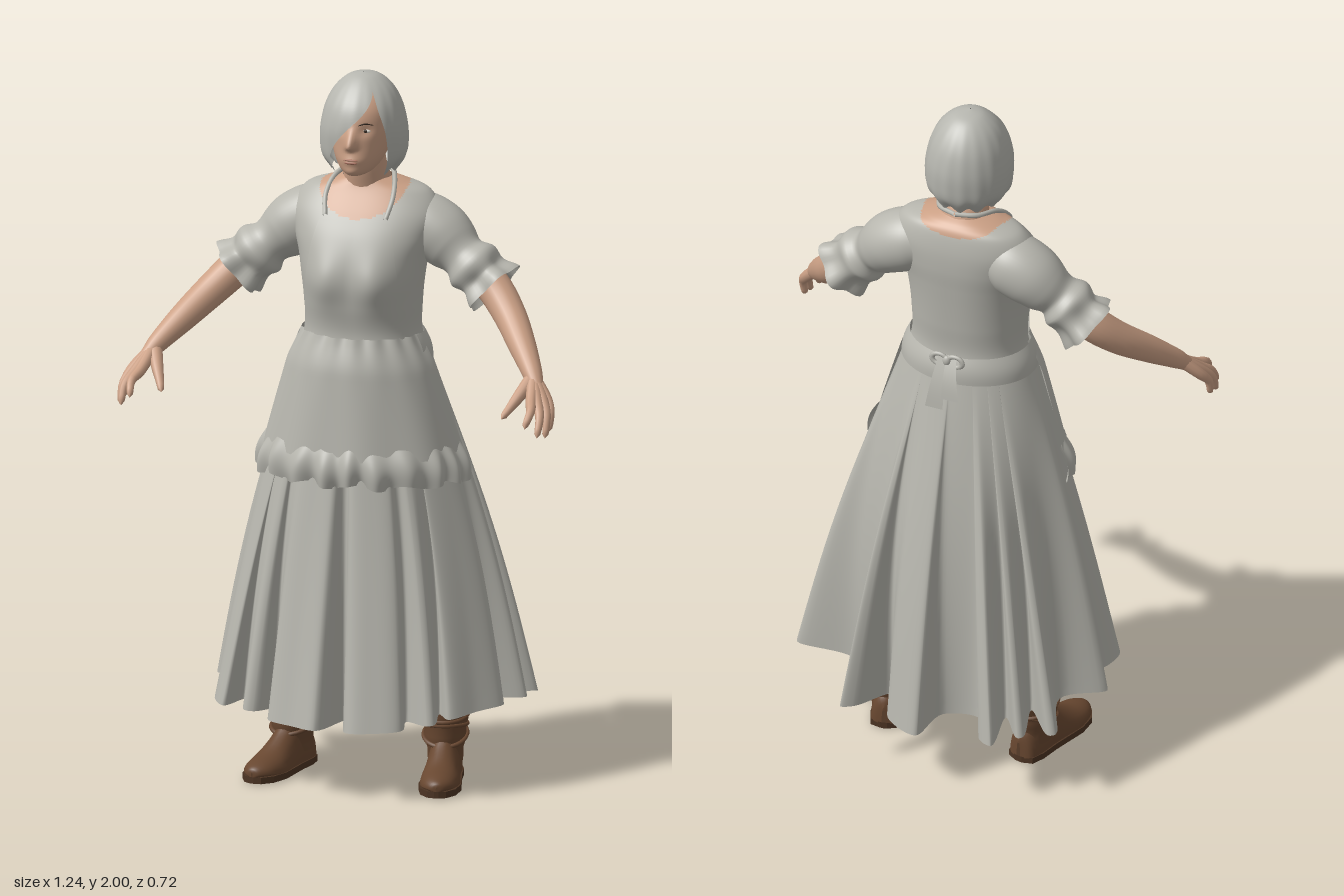
import * as THREE from 'three';

const mat = (name, color, side = THREE.DoubleSide) => {
  const m = new THREE.MeshStandardMaterial({ color, side });
  m.name = name;
  return m;
};
const { sin, cos, PI, exp, abs, sign } = Math;
const lerp = THREE.MathUtils.lerp, smooth = THREE.MathUtils.smoothstep;
const bell = (d, w) => exp(-((d / w) ** 2));

export function createModel() {
  const cloth = mat('grey cloth', 0xb7b6ae), hairMat = mat('grey hair', 0xb6b6af);
  const skin = mat('skin', 0xcba085), leather = mat('boot leather', 0x684730);
  const sole = mat('boot sole', 0x4c3423), lip = mat('lips', 0xa9705d);
  const white = mat('eye white', 0xd8d2c8), dark = mat('dark eye', 0x33281f);
  const model = new THREE.Group();
  model.name = 'womanInApron';

  const add = (name, geo, material, parent = model) => {
    const m = new THREE.Mesh(geo, material);
    m.name = name;
    parent.add(m);
    return m;
  };

  // Smooth lookup in a table of cross-sections, t from 0 to 1
  const row = (rows, t) => {
    const f = Math.min(Math.max(t, 0), 1) * (rows.length - 1);
    const i = Math.min(Math.floor(f), rows.length - 2), k = f - i;
    const at = (j) => rows[Math.min(Math.max(j, 0), rows.length - 1)];
    return rows[i].map((b, c) => {
      const a = at(i - 1)[c], d = at(i + 1)[c], e = at(i + 2)[c];
      return b + 0.5 * k * (d - a + k * (2 * a - 5 * b + 4 * d - e + k * (3 * (b - d) + e - a)));
    });
  };

  // Grid surface: u runs counter-clockwise seen from above, v runs downwards
  const surface = (nu, nv, fn, closed = true, second = null) => {
    const w = closed ? nu : nu + 1, pos = [], parts = [[], []];
    for (let j = 0; j <= nv; j++) for (let i = 0; i < w; i++) pos.push(...fn(i / nu, j / nv));
    for (let j = 0; j < nv; j++) for (let i = 0; i < nu; i++) {
      const n = (i + 1) % w, a = j * w + i, b = a + w, c = (j + 1) * w + n, d = j * w + n;
      const mid = [0, 1, 2].map((k) => (pos[a * 3 + k] + pos[c * 3 + k]) / 2);
      parts[second && second(...mid) ? 1 : 0].push(a, b, d, b, c, d);
    }
    const g = new THREE.BufferGeometry();
    g.setAttribute('position', new THREE.Float32BufferAttribute(pos, 3));
    g.setIndex([...parts[0], ...parts[1]]);
    if (second) {
      g.addGroup(0, parts[0].length, 0);
      g.addGroup(parts[0].length, parts[1].length, 1);
    }
    g.computeVertexNormals();
    return g;
  };

  // Tube through [x, y, z, radius] points, with an optional ripple on the radius
  const limb = (pts, nu = 20, nv = 24, ripple = () => 0) => {
    const curve = new THREE.CatmullRomCurve3(pts.map((p) => new THREE.Vector3(p[0], p[1], p[2])));
    const { normals, binormals } = curve.computeFrenetFrames(nv);
    return surface(nu, nv, (u, v) => {
      const j = Math.round(v * nv), a = u * 2 * PI;
      const r = row(pts, curve.getUtoTmapping(v))[3] + ripple(a, v);
      return curve.getPointAt(v).addScaledVector(normals[j], r * cos(a))
        .addScaledVector(binormals[j], -r * sin(a)).toArray();
    });
  };
  const ball = (name, material, p, s) => {
    const m = add(name, new THREE.SphereGeometry(1, 16, 12), material);
    m.position.set(...p);
    m.scale.set(...s);
  };

  // Bodice with neckline: y, half width, front z, back z
  const torsoRows = [[1.70, .068, .04, -.08], [1.687, .112, .045, -.1], [1.664, .175, .058, -.116],
    [1.61, .21, .095, -.128], [1.55, .2, .13, -.13], [1.49, .182, .152, -.125], [1.43, .172, .16, -.12],
    [1.36, .165, .153, -.115], [1.28, .163, .142, -.11], [1.2, .18, .155, -.125]];
  const torsoPoint = (a, t, off = 0) => {
    const [y, rx, zf, zb] = row(torsoRows, t);
    const x = (rx + off) * sign(sin(a)) * abs(sin(a)) ** 0.85;
    let z = (zf + zb) / 2 + ((zf - zb) / 2 + off) * cos(a);
    if (cos(a) > 0) z += 0.02 * bell(abs(x) - 0.075, 0.05) * bell(y - 1.43, 0.07) * cos(a);
    return [x, y, z];
  };
  const bare = (x, y, z) => (x / 0.13) ** 2 + ((1.71 - y) / lerp(0.05, 0.11, smooth(z, -0.06, 0.03))) ** 2 < 1;
  add('bodice', surface(140, 90, (u, v) => torsoPoint(u * 2 * PI, v), true, bare), [cloth, skin]);
  add('apronBib', surface(36, 36, (u, v) =>
    torsoPoint((u - 0.5) * 2 * lerp(0.42, 1.15, v), lerp(3.25, 8.4, v) / 9, 0.005), false), cloth);
  add('neck', limb([[0, 1.64, -.03, .07], [0, 1.69, -.015, .066], [0, 1.73, 0, .06], [0, 1.78, .012, .056]]), skin);

  // Skirt: an oval cone whose folds deepen towards a pleated hem
  const base = (a, y, off = 0) => {
    const s = (1.22 - y) / 1.02;
    const rx = lerp(.185, .385, s) + .035 * sin(PI * s) + off;
    const zf = lerp(.165, .26, s) + off, zb = lerp(-.132, -.28, s) - .03 * sin(PI * s) - off;
    return [rx * sin(a), y, (zf + zb) / 2 + (zf - zb) / 2 * cos(a)];
  };
  const hem = [[0, .19], [.04, .315], [.12, .31], [.19, .28], [.18, .2], [.25, .24], [.27, .23], [.26, .15],
    [.3, .19], [.36, .13], [.42, .06], [.36, .02], [.455, -.02], [.455, -.04], [.36, -.08], [.455, -.125],
    [.45, -.145], [.28, -.14], [.2, -.2], [.235, -.33], [.2, -.31], [.13, -.21], [.1, -.31], [.01, -.36],
    [-.01, -.355], [-.03, -.23], [-.13, -.22], [-.18, -.32], [-.225, -.34], [-.21, -.21], [-.28, -.29],
    [-.295, -.28], [-.27, -.17], [-.36, -.26], [-.38, -.25], [-.33, -.11], [-.44, -.03], [-.35, .03],
    [-.38, .08], [-.38, .18], [-.34, .225], [-.3, .16], [-.28, .23], [-.25, .23], [-.2, .18],
    [-.195, .275], [-.12, .3], [-.045, .317]];
  const hemCurve = new THREE.CatmullRomCurve3(hem.map(([x, z]) => new THREE.Vector3(x, 0, z)), true);
  add('skirt', surface(384, 28, (u, v) => {
    const h = hemCurve.getPoint(u), a = Math.atan2(h.x / .385, (h.z + .01) / .27);
    const y = lerp(1.215, .25 - (cos(a) > 0 ? .05 : .07) * cos(a) ** 2, v), p = base(a, y), e = base(a, .2);
    const f = v ** 1.5;
    return [p[0] + (h.x - e[0]) * f, y, p[2] + (h.z - e[2]) * f];
  }), cloth);

  // Apron with a gathered top and a ruffled lower edge
  add('apron', surface(120, 24, (u, v) => {
    const a = (u - 0.5) * 2.9, y = lerp(1.275, .94, v);
    return base(a, y, lerp(-.004, .018, smooth(v, -.1, .3)) + .004 * sin(a * 18) * exp(-v * 7) + .003 * sin(a * 9) * v);
  }, false), cloth);
  add('apronRuffle', surface(200, 10, (u, v) => {
    const a = (u - 0.5) * 3.0;
    return base(a, lerp(.968, .868, v) + .007 * sin(a * 13),
      .016 + .012 * sin(PI * v) + .011 * sin(a * 22 + sin(a * 5)) * (0.3 + v * 0.7));
  }, false), cloth);

  // Waist tie and bow at the back
  add('waistTie', surface(72, 8, (u, v) => {
    const a = 1.3 + u * (2 * PI - 2.6);
    return base(a, lerp(1.275, 1.2, v), .003 + .006 * sin(PI * v));
  }, false), cloth);
  for (const s of [-1, 1]) {
    add('bowTail', surface(4, 12, (u, v) => [s * (.012 + .012 * v) + (u - .5) * (.028 + .025 * v),
      1.285 - (s > 0 ? .155 : .12) * v, -.132 - .04 * v - .008 * sin(PI * v)], false), cloth);
    const loop = add('bowLoop', new THREE.TorusGeometry(.018, .007, 8, 20), cloth);
    loop.position.set(s * .024, 1.27, -.137);
    loop.scale.set(1.2, .9, .8);
  }
  ball('bowKnot', cloth, [0, 1.27, -.138], [.012, .016, .01]);

  for (const s of [-1, 1]) {
    const side = (pts) => pts.map(([x, y, z, r]) => [s * x, y, z, r]);
    // Halter strap
    add('strap', limb(side([[.087, 1.605, .096, .007], [.096, 1.655, .06, .007], [.085, 1.698, .004, .007],
      [.055, 1.712, -.06, .007], [0, 1.714, -.083, .007]]), 8, 30), cloth);
    // Sleeve gathered above a flared cuff
    add('sleeve', limb(side([[.1, 1.58, -.035, .075], [.15, 1.57, -.035, .088], [.203, 1.545, -.032, .088],
      [.243, 1.515, -.025, .078], [.277, 1.488, -.016, .064], [.305, 1.464, -.012, .08], [.335, 1.435, -.01, .07],
      [.368, 1.405, -.004, .086]]), 48, 44, (a, v) => .01 * smooth(v, .7, 1) * sin(a * 5 + 1)), cloth);
    add('arm', limb(side([[.27, 1.495, -.015, .048], [.36, 1.42, -.003, .05], [.425, 1.355, .045, .046],
      [.49, 1.285, .125, .038], [.542, 1.225, .195, .027], [.56, 1.2, .22, .02]]), 20, 30), skin);

    // Hand: knuckle and tip of each finger, all starting at the wrist
    const fingers = [[.562, 1.17, .278, .567, 1.12, .352], [.578, 1.165, .27, .597, 1.092, .335],
      [.59, 1.165, .254, .61, 1.085, .302], [.594, 1.168, .233, .61, 1.095, .265]];
    for (const [kx, ky, kz, tx, ty, tz] of fingers) {
      add('finger', limb(side([[.545, 1.222, .2, .018], [kx, ky, kz, .0155],
        [(kx + tx) / 2 + .008, (ky + ty) / 2 + .008, (kz + tz) / 2 + .004, .012], [tx, ty, tz, .008],
        [tx, ty - .006, tz + .003, 0]]), 10, 16), skin);
    }
    add('thumb', limb(side([[.542, 1.22, .2, .02], [.52, 1.18, .25, .017], [.502, 1.15, .285, .012],
      [.49, 1.13, .31, .008], [.488, 1.126, .314, 0]]), 10, 14), skin);

    // Leg and boot
    add('leg', limb([[s * .14, .95, -.02, .1], [s * .19, .6, -.03, .075], [s * .21, .36, -.04, .062]], 16, 12), skin);
    const boot = new THREE.Group();
    boot.name = 'boot';
    boot.position.set(s * .217, 0, -.04);
    boot.rotation.y = s * 0.2;
    model.add(boot);
    add('bootShaft', limb([[0, .44, 0, .078], [0, .3, 0, .076], [0, .2, 0, .07], [0, .12, .002, .06],
      [0, .05, 0, .05]], 24, 20, (a, v) => .002 * sin(v * 40)), leather, boot).scale.set(.94, 1, 1.16);
    // Foot sections: z, half width, height
    const foot = [[-.072, .006, .05], [-.06, .036, .08], [-.02, .045, .11], [.04, .046, .118],
      [.09, .05, .085], [.15, .055, .052], [.205, .045, .032], [.236, .022, .018], [.242, .002, .006]];
    add('bootFoot', surface(28, 32, (u, v) => {
      const [z, w, h] = row(foot, v), a = -u * 2 * PI;
      return [w * cos(a), .02 + (sin(a) > 0 ? h : .01) * sin(a) + .008 * smooth(z, .12, .24), z];
    }), leather, boot);
    const outline = new THREE.Shape([...foot.map(([z, w]) => new THREE.Vector2(w + .004, -z)),
      ...foot.slice().reverse().map(([z, w]) => new THREE.Vector2(-w - .004, -z))]);
    const soleGeo = new THREE.ExtrudeGeometry(outline, { depth: .018, bevelEnabled: false });
    add('bootSole', soleGeo.rotateX(-PI / 2).translate(0, .003, 0), sole, boot);
    const heel = add('bootHeel', new THREE.CylinderGeometry(.043, .041, .02, 20), sole, boot);
    heel.position.set(0, .01, -.028);
    for (const [y, r, tilt] of [[.125, .064, .3], [.155, .065, -.12], [.185, .068, .14]]) {
      const lace = add('bootLace', new THREE.TorusGeometry(r, .006, 6, 28), leather, boot);
      lace.position.set(0, y, .002);
      lace.rotation.x = PI / 2 + tilt;
      lace.scale.set(.94, 1.15, 1);
    }
  }

  // Head: y, half width, front z, back z
  const headRows = [[1.96, .003, .025, .015], [1.945, .05, .08, -.045], [1.91, .08, .115, -.08],
    [1.86, .086, .13, -.085], [1.81, .079, .134, -.065], [1.77, .066, .136, -.04], [1.74, .045, .13, 0],
    [1.727, .022, .115, .03], [1.724, .002, .08, .06]];
  add('head', surface(76, 60, (u, v) => {
    const [y, rx, zf, zb] = row(headRows, v), a = u * 2 * PI, x = rx * sin(a);
    let z = (zf + zb) / 2 + (zf - zb) / 2 * cos(a);
    if (cos(a) > 0) {
      z += .028 * bell(x, .014) * smooth(y, 1.798, 1.815) * (1 - smooth(y, 1.815, 1.875));
      z -= .007 * bell(abs(x) - .035, .018) * bell(y - 1.857, .014);
      z += .005 * bell(x, .025) * bell(y - 1.773, .012) + .004 * bell(x, .02) * bell(y - 1.742, .012);
    }
    return [x, y, z];
  }), skin);
  for (const s of [-1, 1]) {
    ball('eye', white, [s * .036, 1.857, .113], [.014, .005, .005]);
    ball('iris', dark, [s * .036, 1.857, .1165], [.005, .005, .003]);
    add('eyebrow', limb([[s * .018, 1.873, .124, .0015], [s * .036, 1.878, .119, .002],
      [s * .056, 1.873, .106, .001]], 6, 10), dark);
  }
  ball('upperLip', lip, [0, 1.777, .138], [.021, .003, .004]);
  ball('lowerLip', lip, [0, 1.769, .138], [.018, .004, .004]);

  // Bob with a sweeping fringe: y, half width, front z, back z, edge angles of the face opening
  const hairRows = [[2, .002, .02, .016, .3, .3], [1.99, .042, .055, -.035, .5, .5], [1.96, .078, .092, -.072, .6, .6],
    [1.915, .103, .126, -.1, .7, .38], [1.86, .117, .141, -.114, .82, -.1], [1.81, .121, .139, -.115, .86, -.45],
    [1.765, .115, .13, -.108, .88, -.65], [1.73, .088, .108, -.085, .98, -.8]];
  add('hair', surface(128, 40, (u, v) => {
    const [y, rx, zf, zb, right, left] = row(hairRows, v);
    const a = right + u * (2 * PI + left - right);
    const k = 1 + .007 * sin(a * 17) * smooth(v, .1, .5);
    return [rx * k * sin(a), y + .007 * v ** 8 * sin(a * 11), (zf + zb) / 2 + (zf - zb) / 2 * k * cos(a)];
  }, false), hairMat);
  return model;
}
